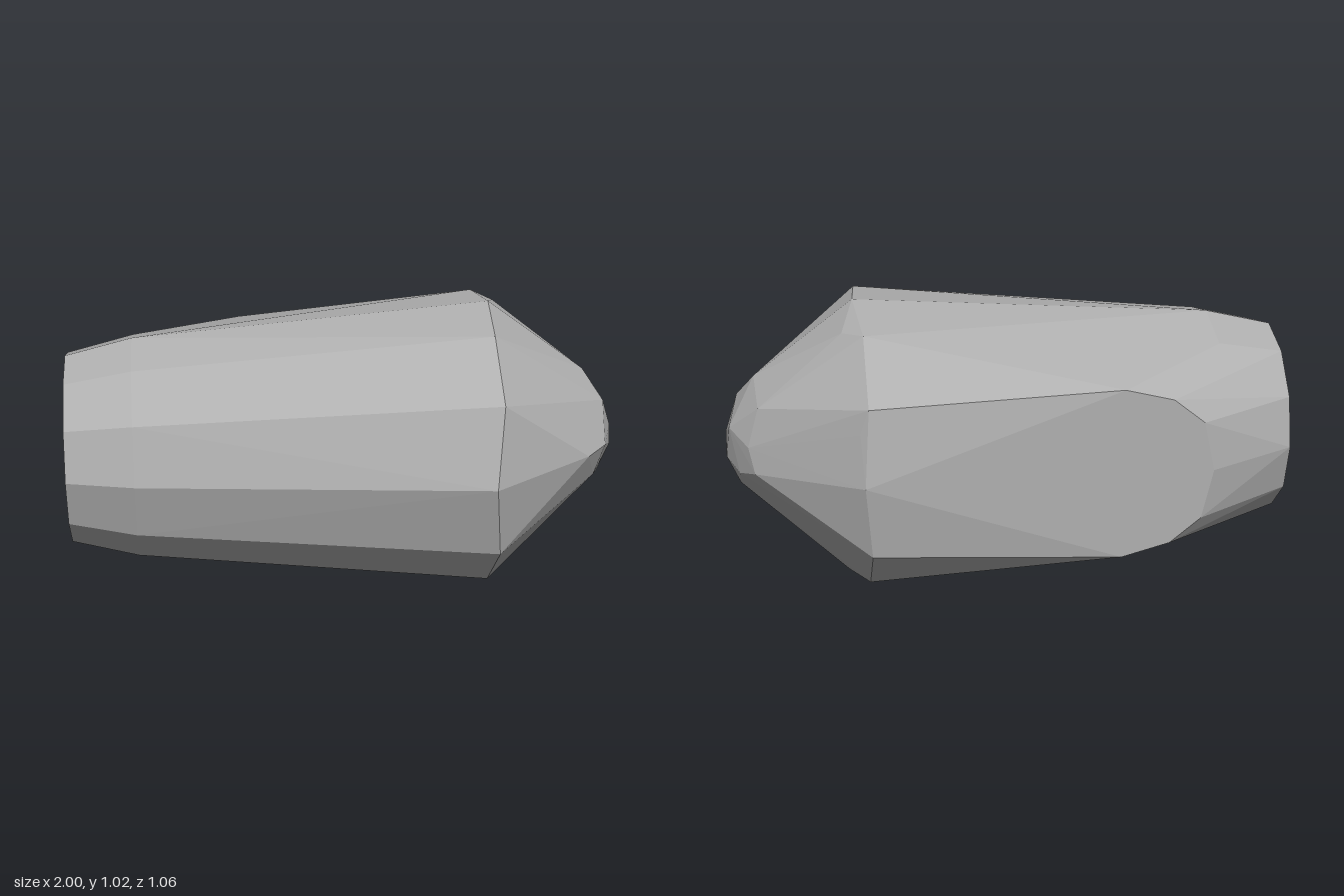
import * as THREE from 'three';
import { ConvexGeometry } from 'three/addons/geometries/ConvexGeometry.js';

const CY = 0.515, CZ = -0.02;

// Twelve-sided ring of points around the long (x) axis
function ring(x, radius) {
  return Array.from({ length: 12 }, (_, i) => {
    const a = (i * Math.PI) / 6;
    return new THREE.Vector3(x, CY + radius * Math.sin(a), CZ + radius * Math.cos(a));
  });
}

// Points repeated above and below the middle plane
function mirrored(list) {
  return list.flatMap(([x, dy, z]) => [1, -1].map((s) => new THREE.Vector3(x, CY + s * dy, z)));
}

export function createModel() {
  const group = new THREE.Group();
  group.name = 'facetedCapsule';
  const grey = new THREE.MeshStandardMaterial({ color: 0xb0b0b0 });
  grey.name = 'stone grey';

  // Blunt end and the bevel behind it
  const bluntEnd = [...ring(-1, 0.35), ...ring(-0.76, 0.41)];

  // Widest section, with the small chamfer corners in front of it
  const shoulder = mirrored([
    [0.53, 0.512, -0.02], [0.51, 0.47, 0.26], [0.52, 0.28, 0.45], [0.49, 0, 0.53],
    [0.51, 0.47, -0.3], [0.51, 0.275, -0.495], [0.53, 0, -0.53],
    [0.58, 0.455, -0.215], [0.535, 0.455, 0.2],
  ]);
  shoulder.push(new THREE.Vector3(0.56, 0.28, 0.43), new THREE.Vector3(0.54, 0.7, -0.49));

  // Flat facet along the back
  const flat = mirrored([[-0.36, 0.315, -0.53], [-0.53, 0.27, -0.53], [-0.64, 0.18, -0.53], [-0.68, 0, -0.53]]);

  // Irregular facets of the nose
  const nose = [
    [0.89, 0.757, -0.02], [0.89, 0.28, -0.02], [0.87, 0.515, 0.25],
    [0.92, 0.56, -0.215], [0.9, 0.47, -0.245], [0.88, 0.7, -0.2],
    [0.955, 0.66, 0.06], [0.95, 0.52, 0.157], [0.92, 0.39, 0.12],
    [0.955, 0.36, 0.02], [0.955, 0.365, -0.07], [0.955, 0.44, -0.155],
    [0.985, 0.6, -0.115], [1, 0.47, 0.02], [1, 0.47, -0.07], [1, 0.54, 0],
  ].map((p) => new THREE.Vector3(...p));

  const body = new THREE.Mesh(new ConvexGeometry([...bluntEnd, ...shoulder, ...flat, ...nose]), grey);
  body.name = 'body';
  group.add(body);
  return group;
}
